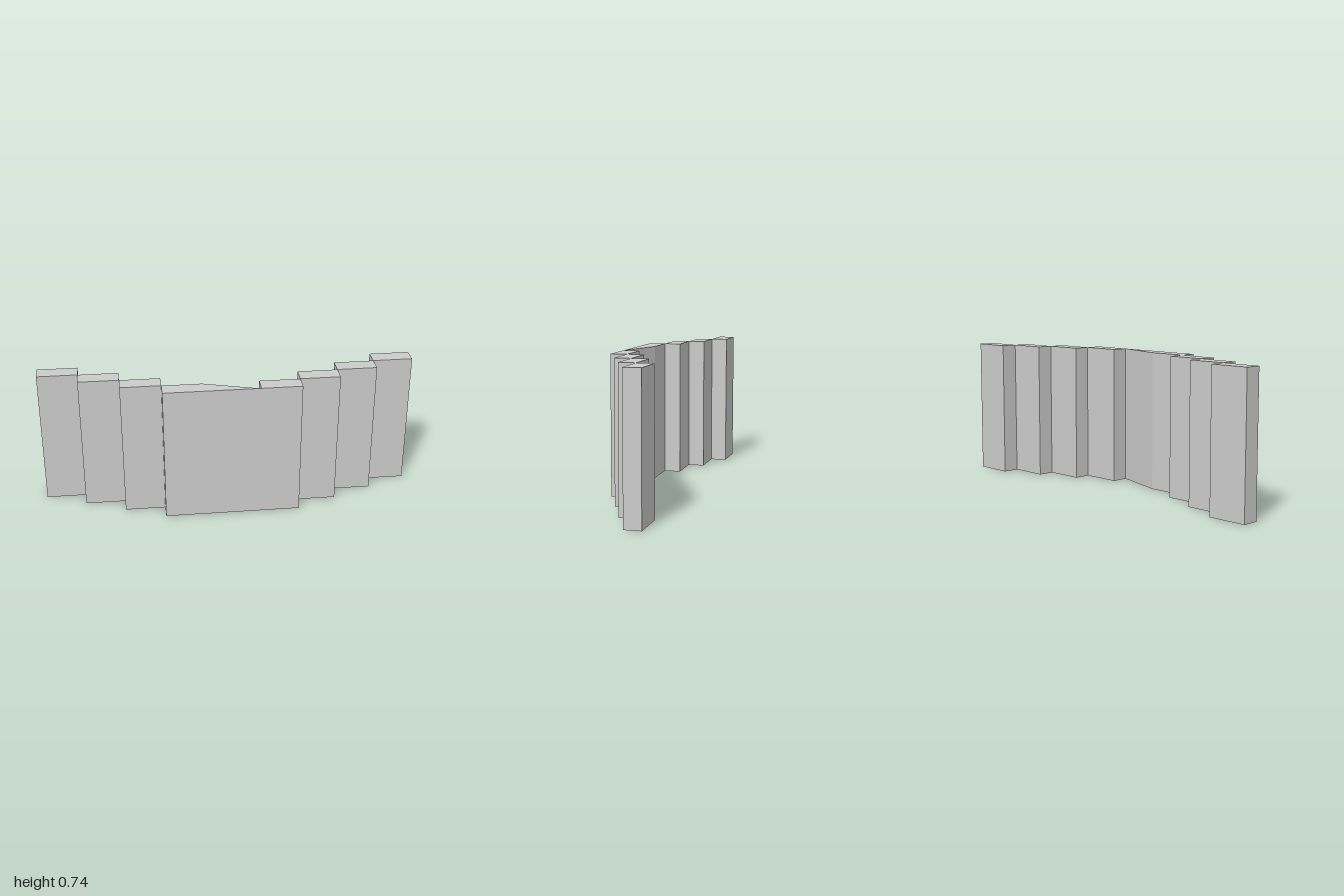
import * as THREE from 'three';

const HEIGHT = 0.735;
const DEPTH = 0.0885; // thickness of every block
const INNER = 0.36;   // where the stepped wings start
const WIDTH = (1 - INNER) / 3;

export function createModel() {
  const group = new THREE.Group();
  const material = new THREE.MeshStandardMaterial({ color: 0xcccccc, flatShading: true });

  // Stepped wings: three blocks per side, each one thickness further back
  const blockGeometry = new THREE.BoxGeometry(WIDTH, HEIGHT, DEPTH);
  for (const [side, label] of [[1, 'left'], [-1, 'right']]) {
    for (let i = 0; i < 3; i++) {
      const block = new THREE.Mesh(blockGeometry, material);
      block.name = `${label}WingBlock${i + 1}`;
      block.position.set(side * (INNER + WIDTH * (i + 0.5)), HEIGHT / 2, DEPTH * (0.5 - i));
      group.add(block);
    }
  }

  // Centre wall: flat front, its back tapering to a thin edge beside the last block
  const front = 2 * DEPTH;
  const plan = new THREE.Shape([
    [-INNER, DEPTH], [-0.15, DEPTH], [0.135, front - 0.001], [0.145, front - 0.001],
    [0.145, DEPTH], [INNER, DEPTH], [INNER, front], [-INNER, front],
  ].map(([x, z]) => new THREE.Vector2(x, z)));
  const wallGeometry = new THREE.ExtrudeGeometry(plan, { depth: HEIGHT, bevelEnabled: false });
  wallGeometry.rotateX(Math.PI / 2).translate(0, HEIGHT, 0);
  const wall = new THREE.Mesh(wallGeometry, material);
  wall.name = 'centreWall';
  group.add(wall);

  return group;
}
